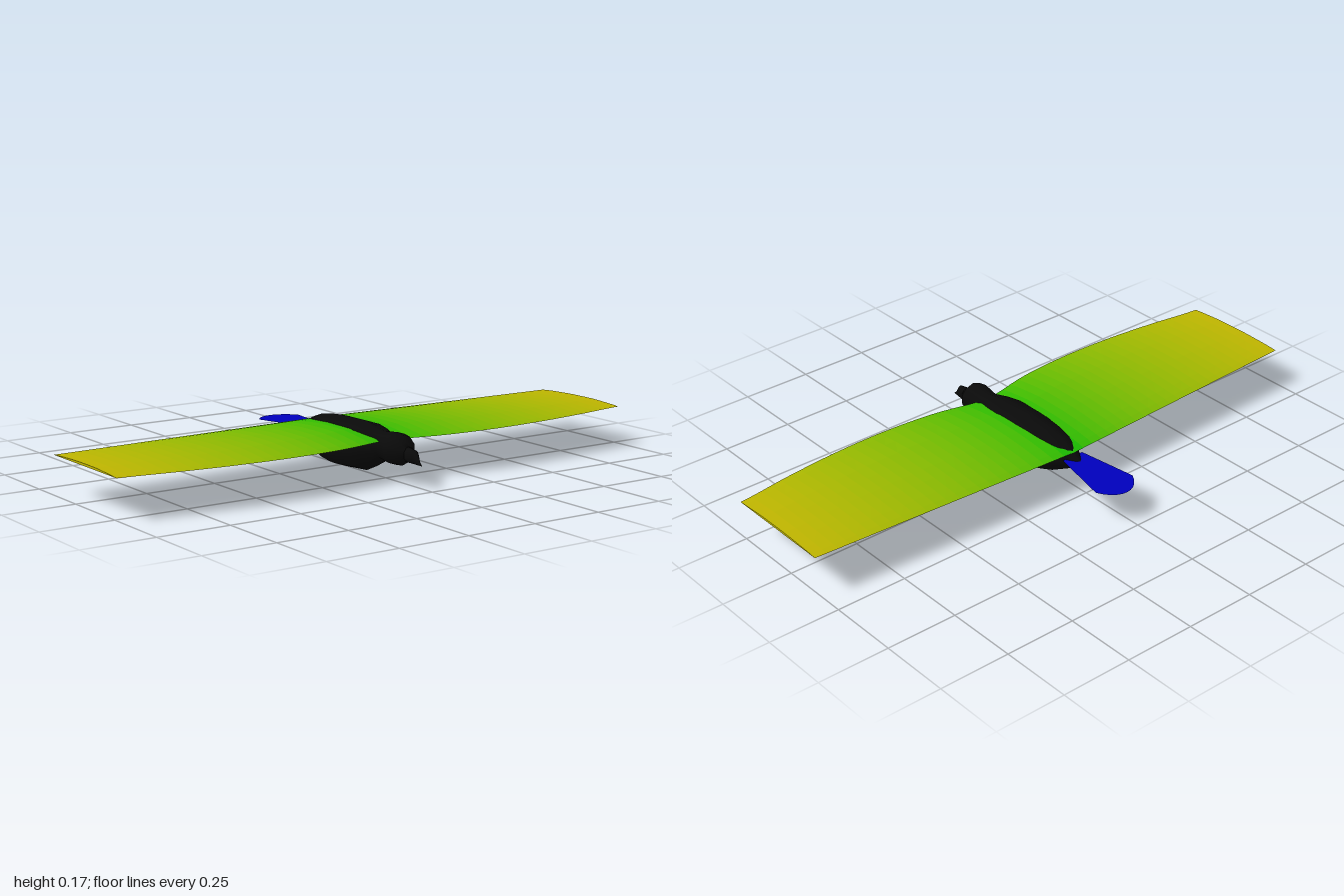
import * as THREE from 'three';

// Skin a list of equal-length point loops; j direction x i direction faces outward.
function loft(rings, capStart, capEnd) {
  const n = rings[0].length, last = (rings.length - 1) * n, index = [];
  for (let i = 0; i < rings.length - 1; i++) {
    for (let j = 0; j < n; j++) {
      const a = i * n + j, b = i * n + (j + 1) % n;
      index.push(a, b, a + n, b, b + n, a + n);
    }
  }
  for (let j = 1; j < n - 1; j++) {
    if (capStart) index.push(0, j + 1, j);
    if (capEnd) index.push(last, last + j, last + j + 1);
  }
  const g = new THREE.BufferGeometry();
  g.setAttribute('position', new THREE.Float32BufferAttribute(rings.flat(2), 3));
  g.setIndex(index);
  g.computeVertexNormals();
  return g;
}

function part(name, geometry, options) {
  const mesh = new THREE.Mesh(geometry, new THREE.MeshStandardMaterial(options));
  mesh.name = name;
  return mesh;
}

// Round body section from its top and bottom heights
function bodyRing([z, top, bottom]) {
  const r = (top - bottom) / 2, c = (top + bottom) / 2;
  return Array.from({ length: 10 }, (_, j) => {
    const a = j / 10 * Math.PI * 2;
    return [r * Math.sin(a), c + r * Math.cos(a), z];
  });
}

// Cambered wing section: chord position and height fraction, trailing to leading
const camber = [[0, 0], [0.06, 0.28], [0.15, 0.55], [0.28, 0.82], [0.4, 1], [0.55, 1.03],
  [0.68, 1], [0.82, 0.65], [0.93, 0.32], [1, 0]];
const leadingEdge = new THREE.SplineCurve([[0, 0.265], [0.2, 0.305], [0.4, 0.32], [0.6, 0.315], [0.8, 0.295], [1, 0.267]]
  .map(p => new THREE.Vector2(...p)));

function wingRing(x) {
  const s = Math.abs(x), lerp = THREE.MathUtils.lerp;
  const back = lerp(-0.19, -0.14, s), front = leadingEdge.getPoint(s).y;
  const base = lerp(0.128, 0.131, s), height = lerp(0.022, 0.008, s);
  const point = ([u, h], k) => [x, base + height * h * k, lerp(back, front, u)];
  return [
    ...camber.map(p => point(p, 1)),
    ...camber.slice(1, -1).reverse().map(p => point(p, 0.4)),
  ];
}

export function createModel() {
  const model = new THREE.Group();
  model.name = 'flyingBird';

  // Head and body in one skin, then the beak
  const black = { color: 0x0a0a0a };
  const bodyProfile = [
    [0.375, 0.122, 0.076], [0.36, 0.138, 0.068], [0.34, 0.158, 0.057], [0.31, 0.163, 0.054],
    [0.25, 0.154, 0.063], [0.2, 0.165, 0.03], [0.145, 0.173, 0.007], [0.04, 0.172, 0],
    [0, 0.17, 0.001], [-0.06, 0.165, 0.009], [-0.12, 0.155, 0.03], [-0.17, 0.137, 0.058],
    [-0.22, 0.106, 0.087], [-0.28, 0.1, 0.098],
  ];
  model.add(part('body', loft(bodyProfile.map(bodyRing), true, true), black));
  const beakProfile = [[0.445, 0.075, 0.073], [0.43, 0.087, 0.073], [0.41, 0.119, 0.073], [0.37, 0.125, 0.073]];
  const beak = loft(beakProfile.map(bodyRing), true, true);
  // Slim the beak sideways towards its tip
  const bp = beak.attributes.position;
  for (let i = 0; i < bp.count; i++) bp.setX(i, bp.getX(i) * (bp.getZ(i) > 0.4 ? 0.6 : 0.85));
  beak.computeVertexNormals();
  model.add(part('beak', beak, black));

  // Wings in strips, blending from green at the root to yellow at the tip
  const green = new THREE.Color(0x00c000), yellow = new THREE.Color(0xc4b800);
  const steps = 24;
  for (const side of [-1, 1]) {
    const wing = new THREE.Group();
    wing.name = side > 0 ? 'leftWing' : 'rightWing';
    for (let i = 0; i < steps; i++) {
      const a = side * i / steps, b = side * (i + 1) / steps;
      const rings = [Math.min(a, b), Math.max(a, b)].map(wingRing);
      const tip = i === steps - 1;
      wing.add(part('wingStrip', loft(rings, tip && side < 0, tip && side > 0), {
        color: green.clone().lerp(yellow, (i + 0.5) / steps), flatShading: true,
      }));
    }
    model.add(wing);
  }

  // Thin tail fan with a rounded end, sloping slightly down
  const outline = new THREE.Shape();
  outline.moveTo(-0.042, 0.18);
  outline.lineTo(-0.08, 0.385);
  outline.bezierCurveTo(-0.04, 0.465, 0.04, 0.465, 0.08, 0.385);
  outline.lineTo(0.042, 0.18);
  const tailShape = new THREE.ShapeGeometry(outline, 10);
  tailShape.rotateX(-Math.PI / 2);
  const tp = tailShape.attributes.position;
  for (let i = 0; i < tp.count; i++) tp.setY(i, 0.115 + 0.038 * tp.getZ(i));
  tailShape.computeVertexNormals();
  model.add(part('tail', tailShape, { color: 0x0000c0, side: THREE.DoubleSide }));

  return model;
}
